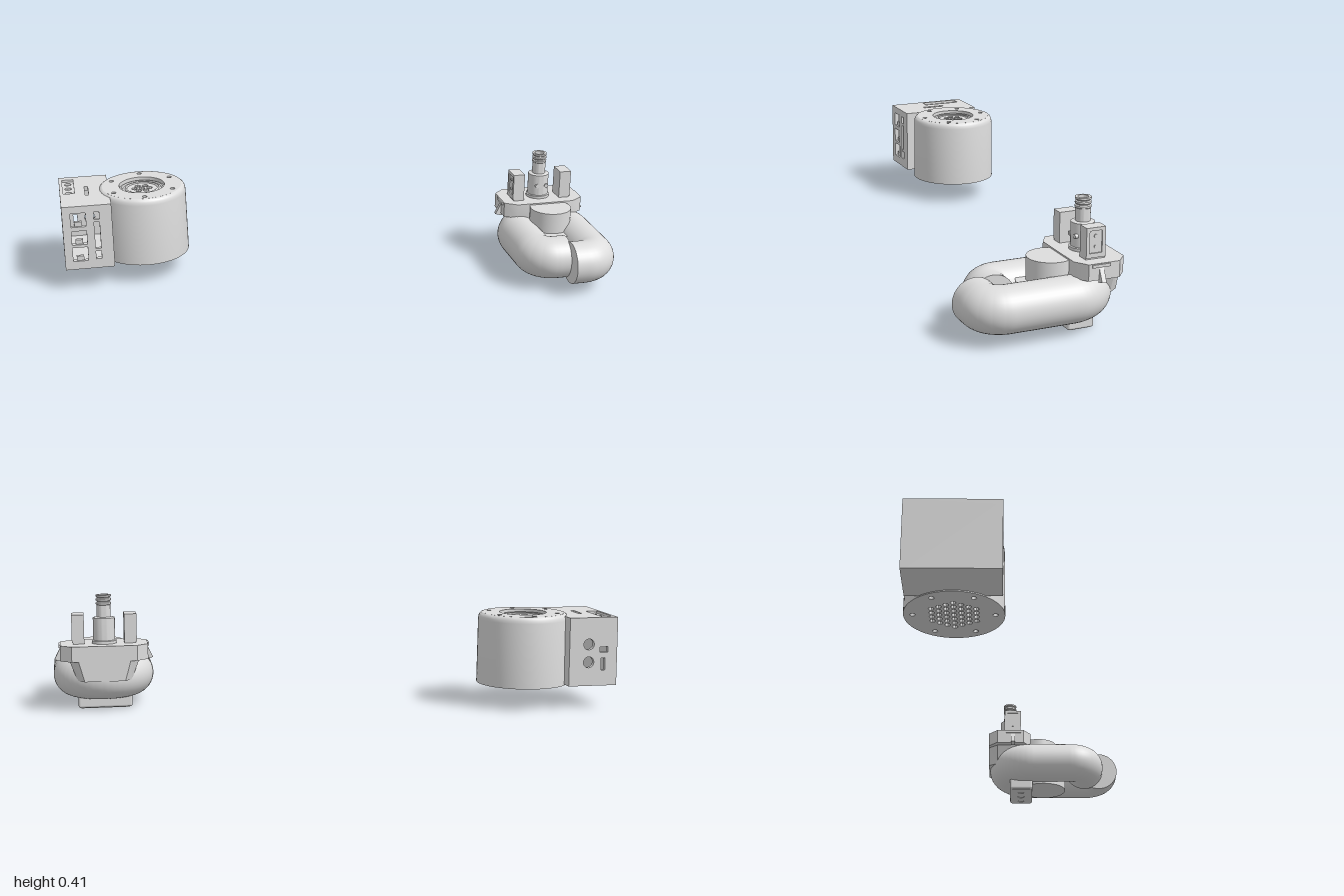
import * as THREE from 'three';
import { toCreasedNormals } from 'three/addons/utils/BufferGeometryUtils.js';
import { RoundedBoxGeometry } from 'three/addons/geometries/RoundedBoxGeometry.js';

const grey = new THREE.MeshStandardMaterial({ color: 0xdddddd, side: THREE.DoubleSide });
grey.name = 'lightGrey';
const V2 = (x, y) => new THREE.Vector2(x, y);
const V3 = (x, y, z) => new THREE.Vector3(x, y, z);

function add(parent, name, geometry, x = 0, y = 0, z = 0) {
  const mesh = new THREE.Mesh(geometry, grey);
  mesh.name = name;
  mesh.position.set(x, y, z);
  parent.add(mesh);
}

// Box given by its limits on each axis
function block(parent, name, x0, x1, y0, y1, z0, z1, r = 0) {
  const s = [x1 - x0, y1 - y0, z1 - z0];
  const g = r ? new RoundedBoxGeometry(...s, 2, r) : new THREE.BoxGeometry(...s);
  add(parent, name, g, (x0 + x1) / 2, (y0 + y1) / 2, (z0 + z1) / 2);
}

const lathe = (pts, n = 64) =>
  toCreasedNormals(new THREE.LatheGeometry(pts.map(p => V2(...p)), n), 0.6);

const rect = (x0, x1, y0, y1) => [V2(x0, y0), V2(x1, y0), V2(x1, y1), V2(x0, y1)];
const disc = (x, y, r, n = 16) => Array.from({ length: n }, (_, i) =>
  V2(x + r * Math.cos(i / n * 2 * Math.PI), y + r * Math.sin(i / n * 2 * Math.PI)));

// Flat panel with holes, extruded along +z
function panel(outline, holes, depth) {
  const shape = new THREE.Shape(outline);
  shape.holes = holes.map(h => new THREE.Path(h));
  return toCreasedNormals(
    new THREE.ExtrudeGeometry(shape, { depth, bevelEnabled: false }), 0.6);
}
// Horizontal panel: outline in x and z, depth runs downward
const flat = (outline, holes, depth) => panel(outline, holes, depth).rotateX(Math.PI / 2);

// Honeycomb of round holes inside a radius
function honeycomb(radius, r) {
  const holes = [], step = 0.028;
  for (let j = -4; j <= 4; j++) for (let i = -4; i <= 4; i++) {
    const x = (i + (j & 1) / 2) * step, z = j * step * 0.866;
    if (Math.hypot(x, z) <= radius) holes.push(disc(x, z, r, 8));
  }
  return holes;
}

function buildHousing() {
  const g = new THREE.Group();
  g.name = 'drumUnit';

  const drum = new THREE.Group();
  drum.name = 'drum';
  drum.position.set(-0.695, 0, -0.235);
  g.add(drum);
  // Hollow, slightly tapered wall with a rounded top rim
  add(drum, 'drumWall', lathe([[0.155, 0.08], [0.166, 0.08], [0.163, 0.315],
    [0.1615, 0.325], [0.158, 0.332], [0.153, 0.3365], [0.147, 0.338]]));
  const screws = r => Array.from({ length: 6 }, (_, i) => {
    const a = (i + 0.5) * Math.PI / 3;
    return disc(r * Math.cos(a), r * Math.sin(a), 0.009, 12);
  });
  // Top ring, recessed grille and its raised rings
  add(drum, 'topRing', flat(disc(0, 0, 0.148, 64), [disc(0, 0, 0.085, 48), ...screws(0.126)], 0.025), 0, 0.338);
  add(drum, 'topGrille', flat(disc(0, 0, 0.09, 48), honeycomb(0.045, 0.0115), 0.008), 0, 0.324);
  for (const r of [0.06, 0.075])
    add(drum, 'grilleRing', new THREE.TorusGeometry(r, 0.004, 8, 48).rotateX(Math.PI / 2), 0, 0.325);
  // Base plate with grille and screw holes
  add(drum, 'basePlate', flat(disc(0, 0, 0.157, 64),
    [...honeycomb(0.085, 0.01), ...screws(0.135)], 0.012), 0, 0.093);

  // Hollow box: outer side, base and inner side
  const box = new THREE.Group();
  box.name = 'connectorBox';
  g.add(box);
  block(box, 'boxSide', -1, -0.988, 0.084, 0.315, -0.372, -0.093);
  block(box, 'boxBase', -0.988, -0.832, 0.084, 0.096, -0.372, -0.093);
  block(box, 'boxInnerSide', -0.832, -0.82, 0.084, 0.315, -0.372, -0.093);
  const face = rect(-1, -0.82, 0.084, 0.332);
  // Front panel: three windows and one tall slot
  const rows = [0.278, 0.208, 0.143];
  const windows = rows.map(y => rect(-0.97, -0.915, y - 0.027, y + 0.027));
  add(box, 'frontPanel', panel(face, [...windows, rect(-0.886, -0.866, 0.12, 0.305)], 0.018), 0, 0, -0.093);
  for (const y of rows)
    block(box, 'socketTongue', -0.957, -0.93, y - 0.028, y - 0.01, -0.095, -0.082);
  for (const y of [0.155, 0.27])
    block(box, 'slotBridge', -0.887, -0.865, y - 0.005, y + 0.005, -0.092, -0.077);
  // Back panel: two round ports and small slots
  add(box, 'backPanel', panel(face, [disc(-0.893, 0.235, 0.02), disc(-0.893, 0.17, 0.02),
    rect(-0.965, -0.935, 0.205, 0.225), rect(-0.955, -0.94, 0.14, 0.185)], 0.018), 0, 0, -0.39);
  // Top panel: long strip window and a narrow slot
  add(box, 'topPanel', flat(rect(-1, -0.82, -0.372, -0.093),
    [rect(-0.988, -0.946, -0.362, -0.212), rect(-0.908, -0.895, -0.275, -0.185)], 0.017), 0, 0.332);
  add(box, 'topStrip', flat(rect(-0.988, -0.946, -0.362, -0.212),
    [-0.335, -0.287, -0.24].map(z => disc(-0.967, z, 0.013, 12)), 0.008), 0, 0.323);
  return g;
}

function buildPipeUnit() {
  const g = new THREE.Group();
  g.name = 'pipeUnit';
  const cx = 0.818, y = 0.114, R = 0.103, r = 0.078;

  // Loop pipe: left front end, leg, half-circle back, leg, right front end
  const arc = Array.from({ length: 25 }, (_, i) => {
    const a = Math.PI * i / 24;
    return V3(cx - R * Math.cos(a), y, 0.04 - R * Math.sin(a));
  });
  const e = 0.06, leftZ = 0.257, rightZ = 0.319;
  const corner = (x, z, s) => Array.from({ length: 11 }, (_, i) => {
    const a = Math.PI / 2 * i / 10;
    return V3(x + s * e * (1 - Math.cos(a)), y, z - e * (1 - Math.sin(a)));
  });
  const points = [V3(cx, y, leftZ), ...corner(cx - R, leftZ, 1).reverse(), ...arc,
    ...corner(cx + R, rightZ, -1), V3(cx - 0.004, y, rightZ)];
  const path = new THREE.CurvePath();
  points.slice(1).forEach((p, i) => path.add(new THREE.LineCurve3(points[i], p)));
  add(g, 'loopPipe', new THREE.TubeGeometry(path, 150, r, 40));
  // Flat pipe ends
  for (const [x, z, s] of [[cx, leftZ, 1], [cx - 0.004, rightZ, -1]])
    add(g, 'pipeEnd', new THREE.CircleGeometry(r, 40).rotateY(s * Math.PI / 2), x, y, z);

  // Central body between the legs, with a raised collar
  add(g, 'body', new THREE.CylinderGeometry(0.092, 0.092, 0.125, 48), 0.83, 0.094, 0.085);
  add(g, 'collar', new THREE.CylinderGeometry(0.077, 0.077, 0.12, 48), 0.826, 0.175, 0.063);

  // Foot with three sockets underneath
  block(g, 'foot', 0.72, 0.913, 0.002, 0.06, -0.056, 0.037, 0.008);
  add(g, 'footPlate', flat(rect(0.73, 0.903, -0.046, 0.027),
    [0.765, 0.818, 0.87].map(x => disc(x, -0.01, 0.014, 12)), 0.004), 0, 0.004);

  // Manifold block: chamfered top plate and a narrower skirt that tapers downward
  const half = [[0.11, 0.03], [0.155, 0], [0.155, -0.11], [0.115, -0.145]];
  const outline = [...half, ...half.map(([x, z]) => [-x, z]).reverse()].map(p => V2(...p));
  add(g, 'manifoldPlate', flat(outline, [], 0.055), cx, 0.24);
  const skirt = flat(outline, [], 0.075);
  const pos = skirt.attributes.position;
  for (let i = 0; i < pos.count; i++) pos.setX(i, pos.getX(i) * (pos.getY(i) < -0.04 ? 0.62 : 0.8));
  skirt.computeVertexNormals();
  add(g, 'manifoldSkirt', skirt, cx, 0.188);

  for (const s of [-1, 1]) {
    // Side clip: small shelf with a triangular rib
    const x = cx + s * 0.15;
    block(g, 'clipShelf', x - 0.01, x + 0.01, 0.228, 0.238, -0.075, -0.012);
    add(g, 'clipRib', panel([V2(x, 0.235), V2(x + s * 0.026, 0.182), V2(x, 0.175)], [], 0.016), 0, 0, -0.053);

    // Upright connector post with a framed outer face
    const px = cx - 0.002 + s * 0.091;
    block(g, 'post', px - 0.02, px + 0.02, 0.235, 0.345, -0.08, -0.012);
    const frame = panel(rect(-0.034, 0.034, 0.245, 0.345), [rect(-0.022, 0.022, 0.26, 0.334)], 0.008);
    add(g, 'postFrame', frame.rotateY(Math.PI / 2), px + s * 0.02 - 0.004, 0, -0.046);
    for (const py of [0.28, 0.316])
      add(g, 'postPin', new THREE.CylinderGeometry(0.006, 0.006, 0.01, 12).rotateZ(Math.PI / 2),
        px + s * 0.018, py, -0.046);
  }

  // Nozzle: wide hub and hollow ribbed spout
  add(g, 'nozzle', lathe([[0.044, 0.238], [0.044, 0.25], [0.039, 0.252], [0.039, 0.332],
    [0.025, 0.335], [0.025, 0.378], [0.027, 0.38], [0.027, 0.386], [0.023, 0.389], [0.023, 0.391],
    [0.027, 0.394], [0.027, 0.4], [0.023, 0.403], [0.023, 0.405], [0.027, 0.408], [0.027, 0.414],
    [0.018, 0.414], [0.018, 0.34], [0, 0.34]], 40), cx - 0.002, 0, -0.058);
  for (const s of [-1, 1])
    add(g, 'hubStud', new THREE.CylinderGeometry(0.008, 0.008, 0.012, 12).rotateX(Math.PI / 2),
      cx + s * 0.018, 0.29, -0.024);
  return g;
}

export function createModel() {
  const model = new THREE.Group();
  model.name = 'pumpSet';
  model.add(buildHousing(), buildPipeUnit());
  return model;
}
